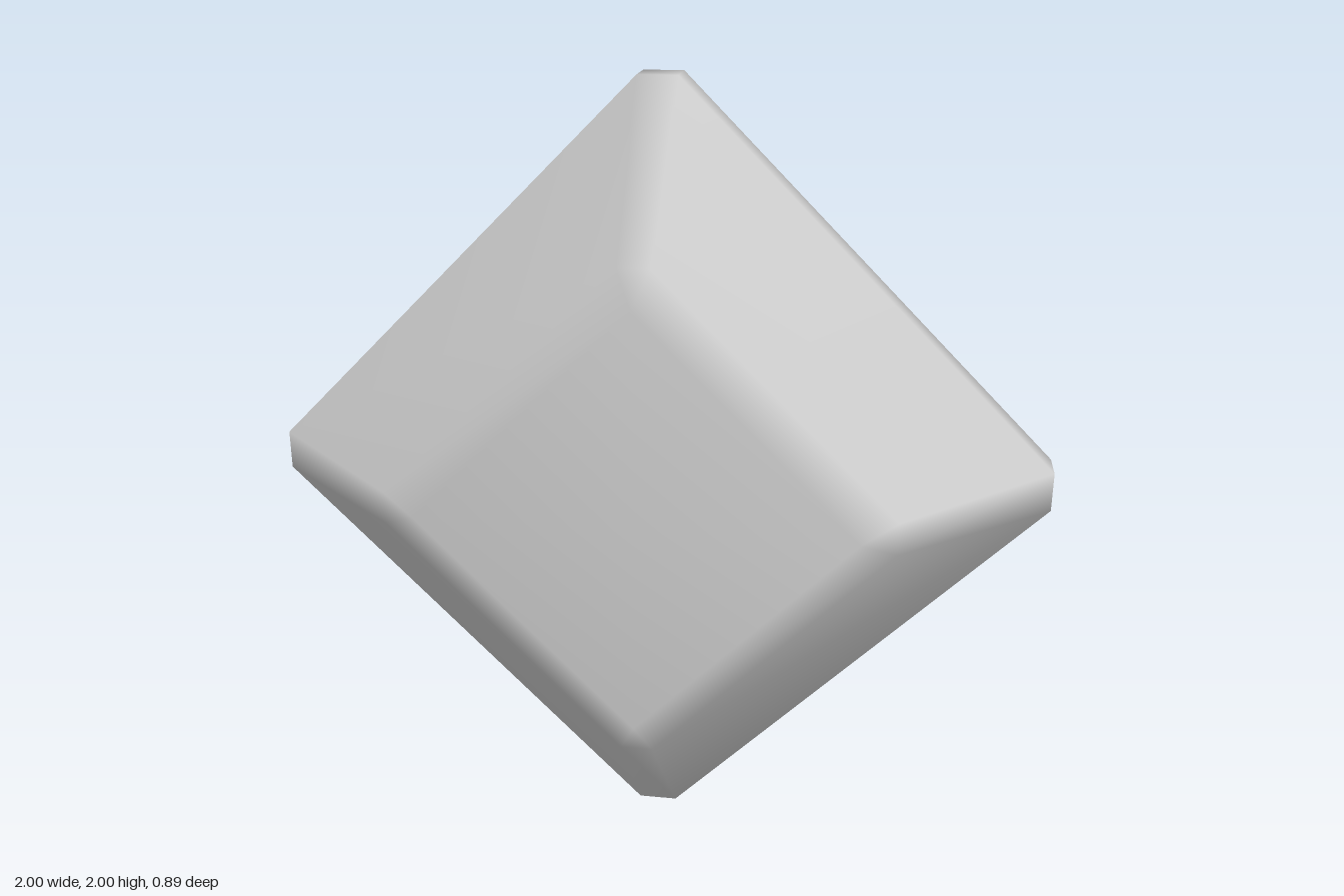
import * as THREE from 'three';
import { mergeVertices } from 'three/addons/utils/BufferGeometryUtils.js';

// Diamond cross-sections from front to back: [z, distance to the tip, half width of the cut tip]
const front = [[0.447, 0, 0], [0.447, 0.535, 0], [0.4, 0.62, 0.04], [0.05, 1, 0.05]];
const sections = [...front, ...front.slice().reverse().map(([z, t, c]) => [-z, t, c])];

function gemGeometry() {
  const positions = [];
  const index = [];
  const n = 8;

  // Each ring has four tips, each cut into two corners
  for (const [z, tip, cut] of sections) {
    for (let k = 0; k < 4; k++) {
      for (const side of [-1, 1]) {
        const p = new THREE.Vector2(tip, side * cut).rotateAround(new THREE.Vector2(), k * Math.PI / 2);
        positions.push(p.x, p.y + 1, z);
      }
    }
  }

  // Join neighbouring rings
  for (let r = 0; r < sections.length - 1; r++) {
    for (let i = 0; i < n; i++) {
      const j = (i + 1) % n;
      const a = r * n + i, b = r * n + j;
      index.push(a, a + n, b + n, a, b + n, b);
    }
  }

  let geometry = new THREE.BufferGeometry();
  geometry.setAttribute('position', new THREE.Float32BufferAttribute(positions, 3));
  geometry.setIndex(index);
  geometry = mergeVertices(geometry, 1e-4);

  // Drop triangles that collapsed where cut corners coincide
  const ids = Array.from(geometry.index.array);
  const kept = [];
  for (let i = 0; i < ids.length; i += 3) {
    const [a, b, c] = ids.slice(i, i + 3);
    if (a !== b && b !== c && c !== a) kept.push(a, b, c);
  }
  geometry.setIndex(kept);

  // Area-weighted normals keep the large facets flat and the bevels soft
  geometry.computeVertexNormals();
  return geometry;
}

export function createModel() {
  const group = new THREE.Group();
  group.name = 'bevelledGem';
  const stone = new THREE.MeshStandardMaterial({ color: 0xcccccc });
  stone.name = 'pale grey';
  const gem = new THREE.Mesh(gemGeometry(), stone);
  gem.name = 'gem';
  group.add(gem);
  return group;
}
